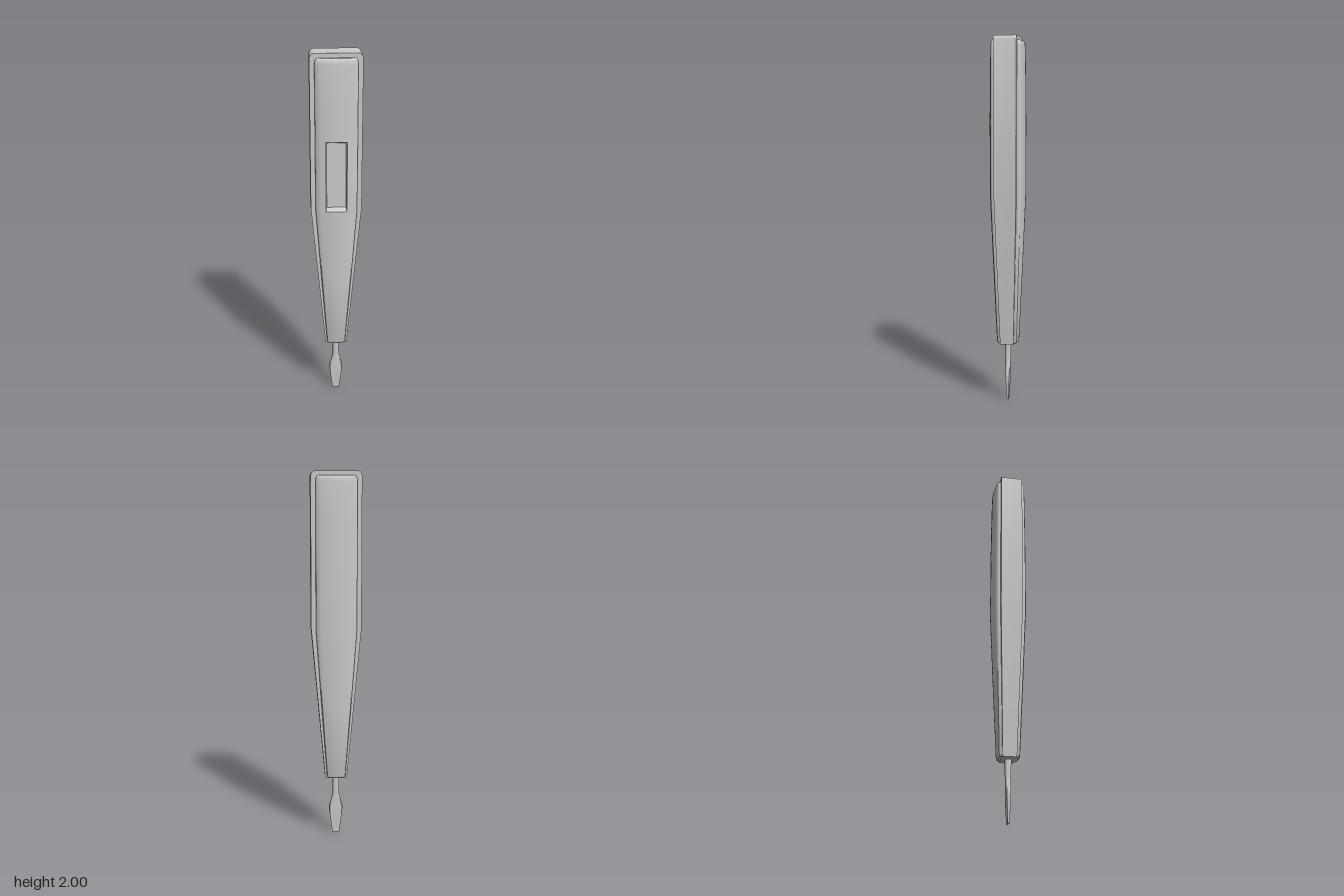
import * as THREE from 'three';
import { toCreasedNormals } from 'three/addons/utils/BufferGeometryUtils.js';

const material = new THREE.MeshStandardMaterial({ color: 0xcccccc });

// Turns a list of corner triples into a mesh that keeps its sharp edges
function toMesh(name, corners, crease) {
  const geometry = new THREE.BufferGeometry();
  geometry.setAttribute('position', new THREE.Float32BufferAttribute(corners.flat(), 3));
  const mesh = new THREE.Mesh(toCreasedNormals(geometry, crease), material);
  mesh.name = name;
  return mesh;
}

// Joins closed rings, listed from bottom to top, and caps both ends
function loft(name, rings, crease = 0.5) {
  const out = [];
  const n = rings[0].length;
  const top = rings.length - 1;
  for (let i = 0; i < n; i++) {
    const j = (i + 1) % n;
    for (let r = 0; r < top; r++) {
      const [a, b, c, d] = [rings[r][i], rings[r][j], rings[r + 1][i], rings[r + 1][j]];
      out.push(a, c, b, b, c, d);
    }
    out.push([0, rings[0][0][1], 0], rings[0][i], rings[0][j]);
    out.push([0, rings[top][0][1], 0], rings[top][j], rings[top][i]);
  }
  return toMesh(name, out, crease);
}

const BOTTOM = 0.33, SHOULDER = 1.17;
const WINDOW = { bottom: 1.165, top: 1.55, t: 0.5, floor: 0.063 };

// Half thickness of the core, thinner towards the blade
const coreDepth = (y) => 0.037 + 0.023 * Math.min(1, (y - BOTTOM) / (SHOULDER - BOTTOM));

// Middle slab of the handle with rounded top corners
function makeCore() {
  const rows = [[BOTTOM, 0.06], [SHOULDER, 0.135]];
  const radius = 0.027;
  for (let i = 0; i <= 6; i++) {
    const a = (i / 6) * Math.PI / 2;
    rows.push([2 - radius + radius * Math.sin(a), 0.135 - radius + radius * Math.cos(a)]);
  }
  return loft('handleCore', rows.map(([y, w]) => {
    const d = coreDepth(y);
    return [[w, y, -d], [w, y, d], [-w, y, d], [-w, y, -d]];
  }));
}

// Crowned cover with softened rim, optionally with a recessed window
function makeCover(name, hasWindow) {
  // Rows: height, half width, centre depth, edge depth, rise from the core
  const rows = [
    [0.332, 0.044, 0.059, 0.05, 0],
    [0.332, 0.044, 0.059, 0.05, 0.75],
    [0.337, 0.048, 0.06, 0.051, 0.93],
    [0.345, 0.051, 0.061, 0.052, 1],
    [0.75, 0.081, 0.079, 0.065, 1],
    [WINDOW.bottom, 0.11, 0.096, 0.078, 1],
    [1.36, 0.11, 0.096, 0.078, 1],
    [WINDOW.top, 0.11, 0.096, 0.078, 1],
    [1.75, 0.11, 0.094, 0.077, 1],
    [1.945, 0.11, 0.09, 0.076, 1],
    [1.962, 0.108, 0.089, 0.076, 0.98],
    [1.972, 0.102, 0.088, 0.076, 0.9],
    [1.977, 0.094, 0.088, 0.075, 0.7],
    [1.977, 0.094, 0.088, 0.075, 0],
  ];
  // Columns: place across the width, rise from the core
  const half = [[-1, 0], [-1, 0.65], [-0.985, 0.88], [-0.95, 1], [-0.75, 1], [-0.5, 1], [-0.25, 1]];
  const columns = [...half, [0, 1], ...half.map(([t, f]) => [-t, f]).reverse()];

  const grid = rows.map(([y, w, centre, edge, rise]) => columns.map(([t, f]) => {
    const base = coreDepth(y) - 0.005;
    const z = edge + (centre - edge) * (1 - t * t);
    return [t * w, y, base + (z - base) * rise * f];
  }));
  const inWindow = (r, c) => hasWindow && rows[r] && rows[r + 1] && columns[c] && columns[c + 1] &&
    rows[r][0] >= WINDOW.bottom && rows[r + 1][0] <= WINDOW.top &&
    columns[c][0] >= -WINDOW.t && columns[c + 1][0] <= WINDOW.t;
  // Matching point on the window floor, drawn in a little from the opening
  const sink = ([x, y]) => [
    x * 0.92,
    y === WINDOW.bottom ? y + 0.015 : y === WINDOW.top ? y - 0.012 : y,
    WINDOW.floor,
  ];

  const out = [];
  const quad = (a, b, c, d) => out.push(a, b, c, a, c, d);
  for (let r = 0; r < rows.length - 1; r++) {
    for (let c = 0; c < columns.length - 1; c++) {
      const ring = [grid[r][c], grid[r][c + 1], grid[r + 1][c + 1], grid[r + 1][c]];
      if (!inWindow(r, c)) {
        quad(...ring);
        continue;
      }
      quad(...ring.map(sink));
      // Walls only where the neighbouring cell is solid
      [[r - 1, c], [r, c + 1], [r + 1, c], [r, c - 1]].forEach(([nr, nc], k) => {
        if (inWindow(nr, nc)) return;
        const a = ring[k], b = ring[(k + 1) % 4];
        quad(a, b, sink(b), sink(a));
      });
    }
  }
  return toMesh(name, out, 0.6);
}

// Round shank that spreads into a flat blade
function makeBlade() {
  // Rows: height, half width, half thickness, squareness
  const rows = [
    [0, 0.019, 0.004, 1], [0.03, 0.023, 0.006, 1], [0.09, 0.032, 0.009, 0.9],
    [0.13, 0.037, 0.011, 0.7], [0.148, 0.038, 0.0115, 0.6], [0.165, 0.036, 0.012, 0.5],
    [0.2, 0.026, 0.014, 0.25], [0.225, 0.02, 0.015, 0.1], [0.245, 0.0175, 0.016, 0],
    [0.345, 0.0175, 0.0185, 0],
  ];
  const sides = 24;
  return loft('blade', rows.map(([y, w, d, square]) => Array.from({ length: sides }, (_, i) => {
    const a = (i / sides) * Math.PI * 2;
    const x = Math.cos(a), z = Math.sin(a);
    const stretch = 1 + square * (1 / Math.max(Math.abs(x), Math.abs(z)) - 1);
    return [x * stretch * w, y, z * stretch * d];
  })), 0.7);
}

export function createModel() {
  const model = new THREE.Group();
  model.name = 'screwdriver';
  const backCover = makeCover('backCover', false);
  backCover.rotation.y = Math.PI;
  model.add(makeCore(), makeCover('frontCover', true), backCover, makeBlade());
  return model;
}
